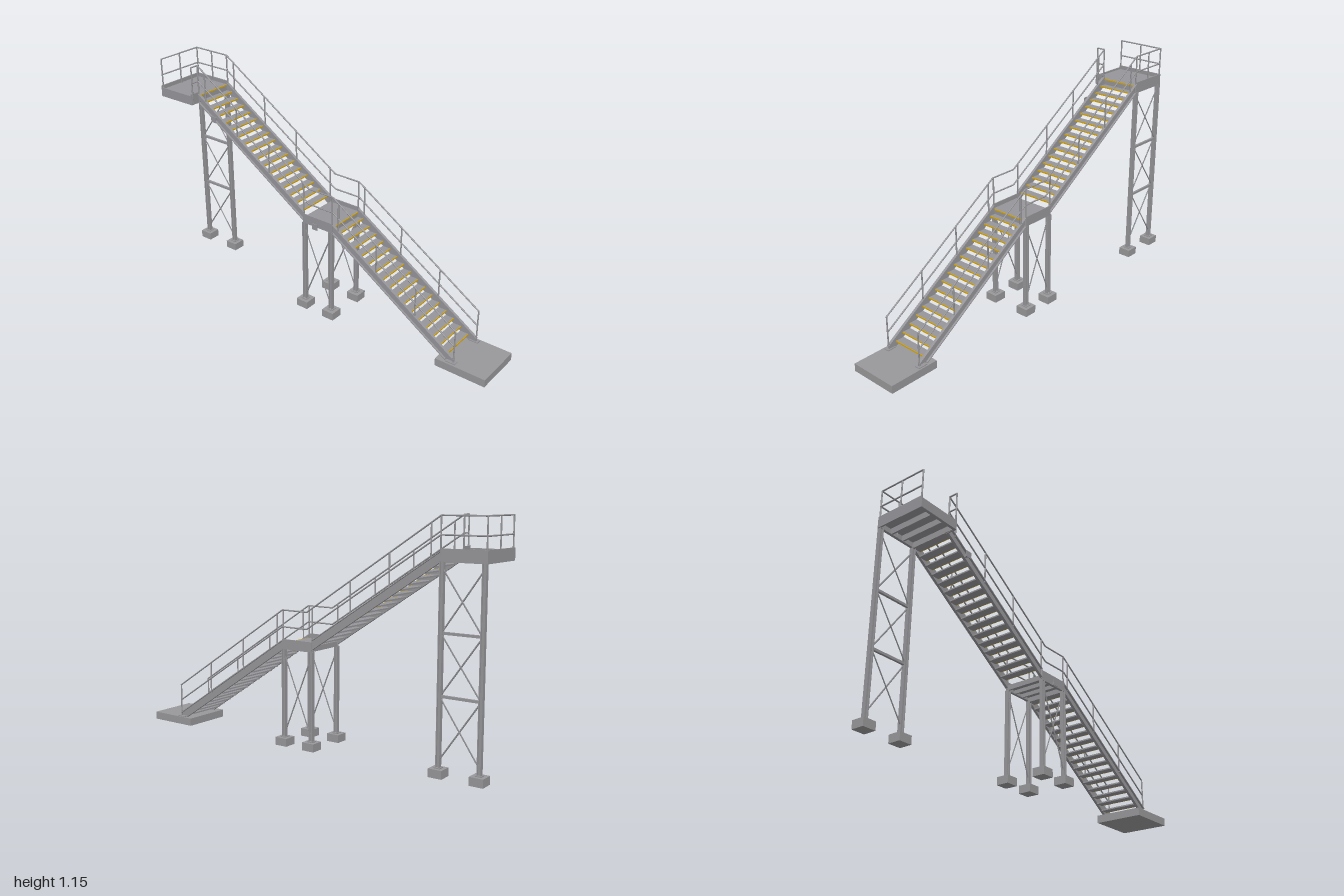
import * as THREE from 'three';

const steel = new THREE.MeshStandardMaterial({ name: 'steel grey', color: 0x96969a });
const concrete = new THREE.MeshStandardMaterial({ name: 'concrete grey', color: 0x98989a });
const yellow = new THREE.MeshStandardMaterial({ name: 'safety yellow', color: 0xd9a606 });

const XL = -0.098, XR = 0.114; // stringer, post and rail lines
const XM = (XL + XR) / 2;

// Box given by its minimum and maximum corners
function box(parent, name, x0, x1, y0, y1, z0, z1, mat = steel) {
  const m = new THREE.Mesh(new THREE.BoxGeometry(x1 - x0, y1 - y0, z1 - z0), mat);
  m.position.set((x0 + x1) / 2, (y0 + y1) / 2, (z0 + z1) / 2);
  m.name = name;
  parent.add(m);
  return m;
}

// Round bar between two points
function bar(parent, name, a, b, r = 0.0038, sides = 8) {
  const p = new THREE.Vector3(...a), q = new THREE.Vector3(...b);
  const d = q.clone().sub(p);
  const m = new THREE.Mesh(new THREE.CylinderGeometry(r, r, d.length(), sides), steel);
  m.position.copy(p).add(q).multiplyScalar(0.5);
  m.quaternion.setFromUnitVectors(new THREE.Vector3(0, 1, 0), d.normalize());
  m.name = name;
  parent.add(m);
}

// Chain of bars with ball joints at the bends
function rail(parent, name, pts) {
  for (let i = 1; i < pts.length; i++) {
    bar(parent, name, pts[i - 1], pts[i]);
    const ball = new THREE.Mesh(new THREE.SphereGeometry(0.0038, 8, 6), steel);
    ball.position.set(...pts[i]);
    ball.name = name + 'Joint';
    parent.add(ball);
  }
}

// Plate with a (z, y) outline, spanning x0..x1
function sidePlate(parent, name, pts, x0, x1) {
  const shape = new THREE.Shape(pts.map(([z, y]) => new THREE.Vector2(-z, y)));
  const g = new THREE.ExtrudeGeometry(shape, { depth: x1 - x0, bevelEnabled: false });
  g.rotateY(Math.PI / 2);
  const m = new THREE.Mesh(g, steel);
  m.position.x = x0;
  m.name = name;
  parent.add(m);
}

// One flight: channel stringers, treads and nosings
function flight(name, lower, upper, bottomZ, firstZ, firstY) {
  const g = new THREE.Group();
  g.name = name;
  const [z0, y0] = lower, [z1, y1] = upper;
  const depth = 0.05, f = 0.005;
  const k = (y1 - y0) / (z1 - z0);
  const foot = y0 + k * (bottomZ - z0) - depth;
  for (const [x, s] of [[XL, -1], [XR, 1]]) {
    const inner = x - s * 0.007, web = inner + s * 0.004, outer = x + s * 0.007;
    const range = (a, b) => [Math.min(a, b), Math.max(a, b)];
    sidePlate(g, 'stringerWeb', [[z0, y0], [z0, Math.max(foot, y0 - depth)], [bottomZ, foot], [z1, y1 - depth], [z1, y1]],
      ...range(inner, web));
    sidePlate(g, 'stringerTopFlange', [[z0, y0], [z0, y0 - f], [z1, y1 - f], [z1, y1]], ...range(web, outer));
    sidePlate(g, 'stringerBottomFlange', [[bottomZ, foot + f], [bottomZ, foot], [z1, y1 - depth], [z1, y1 - depth + f]],
      ...range(web, outer));
  }
  for (let i = 0; i < 16; i++) {
    const z = firstZ - i * 0.0425, y = firstY + i * 0.0279;
    box(g, 'tread', XL + 0.007, XR - 0.007, y - 0.004, y + 0.003, z - 0.046, z - 0.003);
    box(g, 'nosing', XL + 0.007, XR - 0.007, y - 0.004, y + 0.0032, z - 0.003, z, yellow);
  }
  return g;
}

// Deck with fascia channels, joists and yellow front edge
function landing(name, x0, x1, z0, z1, deckY, bottom, top) {
  const g = new THREE.Group();
  g.name = name;
  box(g, 'deck', x0, x1, deckY - 0.006, deckY, z0, z1);
  for (const [a, b] of [[x0, x0 + 0.005], [x1 - 0.005, x1]]) box(g, 'sideFascia', a, b, bottom, top, z0, z1);
  for (const [a, b] of [[x0, x0 + 0.014], [x1 - 0.014, x1]]) box(g, 'sideFlange', a, b, bottom, bottom + 0.004, z0, z1);
  for (const t of [0, 1 / 3, 2 / 3, 1]) {
    const z = z0 + 0.004 + t * (z1 - z0 - 0.008);
    box(g, 'joist', x0 + 0.005, x1 - 0.005, bottom + 0.002, deckY - 0.005, z - 0.004, z + 0.004);
  }
  box(g, 'deckNosing', XL + 0.007, XR - 0.007, deckY - 0.006, deckY + 0.0005, z1 - 0.002, z1 + 0.001, yellow);
  return g;
}

// Pair of legs on footings with X bracing between them
function trestle(name, x, za, zb, top, levels) {
  const g = new THREE.Group();
  g.name = name;
  for (const z of [za, zb]) {
    box(g, 'footing', x - 0.033, x + 0.033, 0, 0.04, z - 0.034, z + 0.034, concrete);
    box(g, 'basePlate', x - 0.016, x + 0.016, 0.04, 0.044, z - 0.016, z + 0.016);
    // I-section leg
    for (const s of [-1, 1]) box(g, 'legFlange', x - 0.01, x + 0.01, 0.04, top, z + s * 0.008 - 0.002, z + s * 0.008 + 0.002);
    box(g, 'legWeb', x - 0.002, x + 0.002, 0.04, top, z - 0.008, z + 0.008);
  }
  const a = za - 0.008, b = zb + 0.008;
  levels.forEach(([low, high], i) => {
    bar(g, 'brace', [x - 0.003, low, a], [x - 0.003, high, b], 0.0038, 4);
    bar(g, 'brace', [x + 0.003, low, b], [x + 0.003, high, a], 0.0038, 4);
    if (i) box(g, 'strut', x - 0.006, x + 0.006, low - 0.016, low - 0.004, b, a);
  });
  return g;
}

export function createModel() {
  const model = new THREE.Group();
  model.name = 'staircase';

  box(model, 'groundSlab', -0.122, 0.135, 0, 0.04, 0.735, 1, concrete);
  for (const x of [XL, XR]) box(model, 'footPlate', x - 0.014, x + 0.014, 0.04, 0.044, 0.785, 0.835);

  model.add(flight('lowerFlight', [0.822, 0.06], [0.11, 0.531], 0.778, 0.78, 0.065));
  model.add(flight('upperFlight', [-0.068, 0.545], [-0.76, 1.002], -0.068, -0.085, 0.538));
  model.add(landing('middleLanding', -0.105, 0.121, -0.07, 0.11, 0.513, 0.485, 0.535));

  // Top platform, wider on one side for the exit
  const top = landing('topPlatform', -0.15, 0.118, -0.978, -0.76, 0.99, 0.952, 1.0);
  box(top, 'backFascia', -0.15, 0.118, 0.952, 1.01, -0.98, -0.974);
  box(top, 'rightFascia', 0.112, 0.118, 0.952, 1.01, -0.98, -0.758);
  box(top, 'wingFascia', -0.15, -0.092, 0.952, 1.01, -0.764, -0.758);
  model.add(top);

  model.add(trestle('middleTrestleRight', XL, 0.103, -0.064, 0.487, [[0.08, 0.45]]));
  model.add(trestle('middleTrestleLeft', XR - 0.002, 0.103, -0.064, 0.487, [[0.08, 0.45]]));
  model.add(trestle('topTower', XR - 0.002, -0.765, -0.966, 0.955, [[0.085, 0.355], [0.375, 0.635], [0.655, 0.92]]));

  // Wall brackets
  for (const [y, z] of [[0.895, -0.64], [0.495, 0.015]]) {
    box(model, 'bracketPlate', -0.121, -0.118, y - 0.017, y + 0.015, z - 0.016, z + 0.016);
    box(model, 'bracketArm', -0.118, XL, y - 0.009, y + 0.006, z - 0.004, z + 0.004);
  }

  // Handrails follow the flights on both sides
  const rails = new THREE.Group();
  rails.name = 'railings';
  model.add(rails);
  const H = 1.151, wing = -0.142, back = -0.974;
  const posts = [[0.82, 0.04, 0.213], [0.597, 0.2, 0.36], [0.37, 0.35, 0.51], [0.145, 0.5, 0.658], [0.108, 0.49, 0.678],
    [-0.07, 0.49, 0.7], [-0.29, 0.68, 0.845], [-0.5, 0.82, 0.982], [-0.71, 0.96, 1.119], [-0.757, 0.955, H]];
  for (const x of [XL, XR]) {
    for (const [z, a, b] of posts) bar(rails, 'post', [x, a, z], [x, b, z]);
    const end = (y) => (x === XR ? [[XR, y, back], [wing, y, back]] : [[wing, y, -0.757]]);
    rail(rails, 'handrail', [[x, 0.213, 0.82], [x, 0.678, 0.112], [x, 0.678, -0.037], [x, H, -0.757], ...end(H)]);
    rail(rails, 'midRail', [[x, 0.13, 0.82], [x, 0.595, 0.112], [x, 0.595, -0.037], [x, 1.068, -0.757], ...end(1.068)]);
  }
  for (const [x, z] of [[XR, -0.866], [XR, back], [-0.014, back], [wing, back], [wing, -0.757]])
    bar(rails, 'platformPost', [x, 0.96, z], [x, H, z]);

  return model;
}
